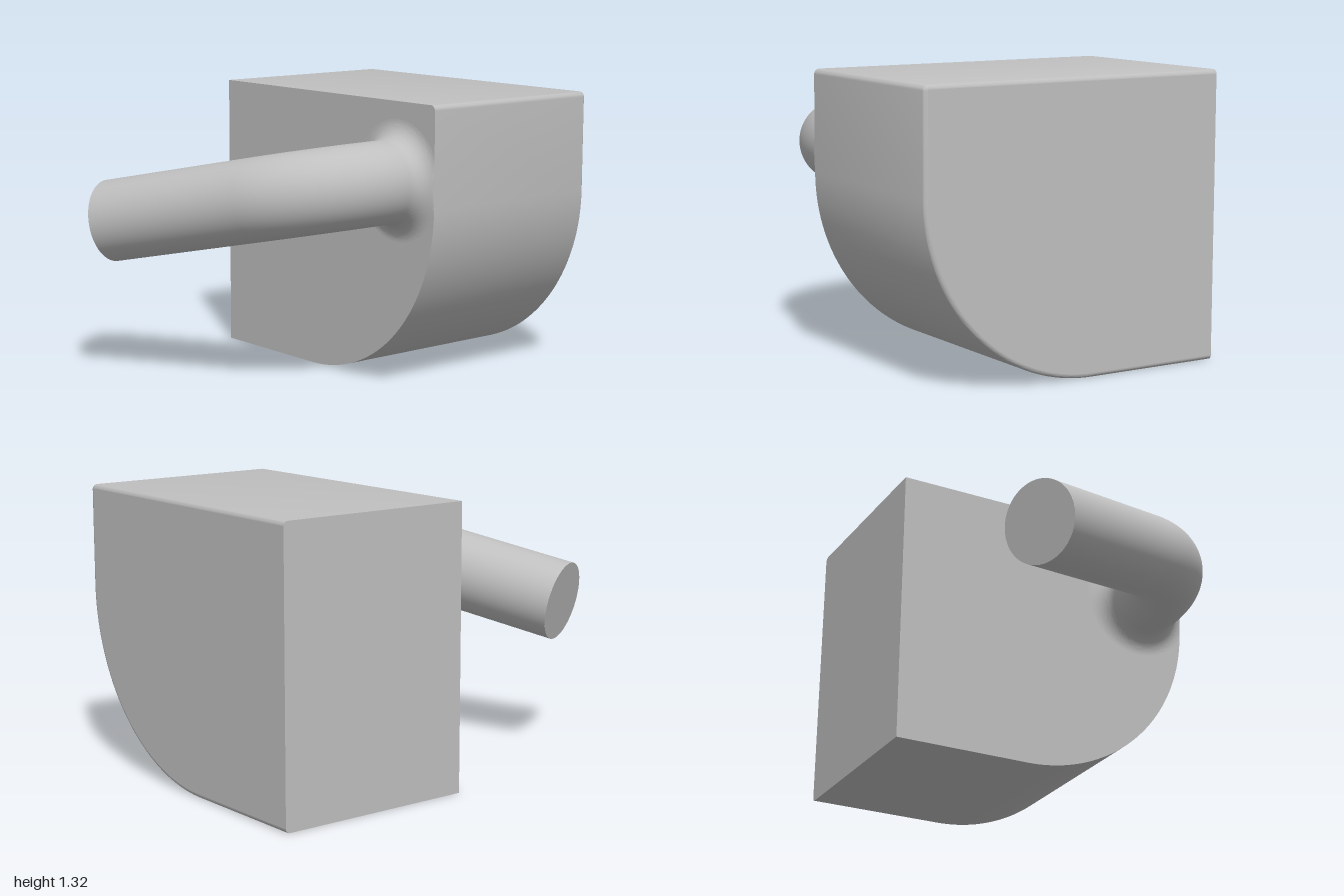
import * as THREE from 'three';
import { toCreasedNormals } from 'three/addons/utils/BufferGeometryUtils.js';

const HALF = 0.753, TOP = 1.315, FRONT = -0.04, BACK = -1;
const CORNER = 0.85, SOFT = 0.025, EDGE = 0.02;
const PIPE_R = 0.19, FILLET = 0.09;
const START = new THREE.Vector3(0.51, 0.955, FRONT);

// Counter-clockwise block outline; every side but the left one moves in by "inset".
function outline(inset) {
  const pts = [new THREE.Vector2(-HALF, TOP - inset), new THREE.Vector2(-HALF, inset)];
  const arc = (cx, cy, r, from, to, n) => {
    for (let i = 0; i <= n; i++) {
      const a = from + (to - from) * i / n;
      pts.push(new THREE.Vector2(cx + r * Math.cos(a), cy + r * Math.sin(a)));
    }
  };
  arc(HALF - CORNER, CORNER, CORNER - inset, -Math.PI / 2, 0, 48);
  arc(HALF - SOFT, TOP - SOFT, SOFT - inset, 0, Math.PI / 2, 6);
  return pts;
}

// Side walls lofted from the front edge to the rounded back edge.
function wallGeometry() {
  const rings = [{ inset: 0, z: FRONT }];
  for (let i = 0; i <= 6; i++) {
    const a = i / 6 * Math.PI / 2;
    rings.push({ inset: EDGE * (1 - Math.cos(a)), z: BACK + EDGE * (1 - Math.sin(a)) });
  }
  const pos = [], index = [], n = outline(0).length;
  for (const { inset, z } of rings) for (const p of outline(inset)) pos.push(p.x, p.y, z);
  for (let r = 0; r < rings.length - 1; r++) {
    for (let i = 0; i < n; i++) {
      const a = r * n + i, b = r * n + (i + 1) % n, c = a + n, d = b + n;
      index.push(a, c, b, b, c, d);
    }
  }
  const g = new THREE.BufferGeometry();
  g.setAttribute('position', new THREE.Float32BufferAttribute(pos, 3));
  g.setIndex(index);
  g.computeVertexNormals();
  return toCreasedNormals(g, 0.5);
}

// Pipe centre line: short straight, circular bend, long straight.
class PipePath extends THREE.Curve {
  constructor() {
    super();
    this.side = new THREE.Vector3(-1, -0.218, 0).normalize();
    this.lead = 0.085;
    this.radius = 0.52;
    this.angle = THREE.MathUtils.degToRad(67.4);
    this.tail = 0.779;
  }
  getPoint(t, target = new THREE.Vector3()) {
    const bend = this.radius * this.angle;
    const s = t * (this.lead + bend + this.tail);
    const a = THREE.MathUtils.clamp((s - this.lead) / this.radius, 0, this.angle);
    const rest = Math.max(0, s - this.lead - bend);
    const u = this.radius * (1 - Math.cos(a)) + rest * Math.sin(a);
    const z = Math.min(s, this.lead) + this.radius * Math.sin(a) + rest * Math.cos(a);
    target.copy(START).addScaledVector(this.side, u);
    target.z += z;
    return target;
  }
}

// Flared ring joining pipe and block, trimmed flush with the block's side.
function flareGeometry() {
  const profile = [];
  for (let i = 0; i <= 16; i++) {
    const a = i / 16 * Math.PI / 2;
    profile.push(new THREE.Vector2(
      PIPE_R + FILLET * (1 - Math.sin(a)), FILLET * (1 - Math.cos(a))));
  }
  const g = new THREE.LatheGeometry(profile, 128);
  g.rotateX(Math.PI / 2).translate(START.x, START.y, START.z);
  const p = g.attributes.position;
  for (let i = 0; i < p.count; i++) {
    const drop = Math.min(0, p.getY(i) - CORNER);
    const limit = HALF - CORNER + Math.sqrt(CORNER * CORNER - drop * drop);
    p.setX(i, Math.min(p.getX(i), limit));
  }
  g.computeVertexNormals();
  return toCreasedNormals(g, 0.5);
}

export function createModel() {
  const grey = new THREE.MeshStandardMaterial({ color: 0xbfbfbf });
  grey.name = 'plain grey';
  const model = new THREE.Group();
  model.name = 'blockWithBentPipe';
  const add = (parent, name, geometry) => {
    const mesh = new THREE.Mesh(geometry, grey);
    mesh.name = name;
    parent.add(mesh);
    return mesh;
  };

  // Block
  const block = new THREE.Group();
  block.name = 'block';
  model.add(block);
  add(block, 'blockWalls', wallGeometry());
  add(block, 'blockFront', new THREE.ShapeGeometry(new THREE.Shape(outline(0)))).position.z = FRONT;
  const back = new THREE.ShapeGeometry(new THREE.Shape(outline(EDGE).map(p => new THREE.Vector2(-p.x, p.y))));
  add(block, 'blockBack', back.rotateY(Math.PI)).position.z = BACK;

  // Pipe
  const pipe = new THREE.Group();
  pipe.name = 'pipe';
  model.add(pipe);
  const path = new PipePath();
  add(pipe, 'pipeTube', new THREE.TubeGeometry(path, 96, PIPE_R, 64, false));
  add(pipe, 'pipeFlare', flareGeometry());
  const end = path.getPoint(1);
  const cap = add(pipe, 'pipeEnd', new THREE.CircleGeometry(PIPE_R, 64));
  cap.position.copy(end);
  cap.lookAt(end.clone().add(path.getTangent(1)));
  return model;
}
